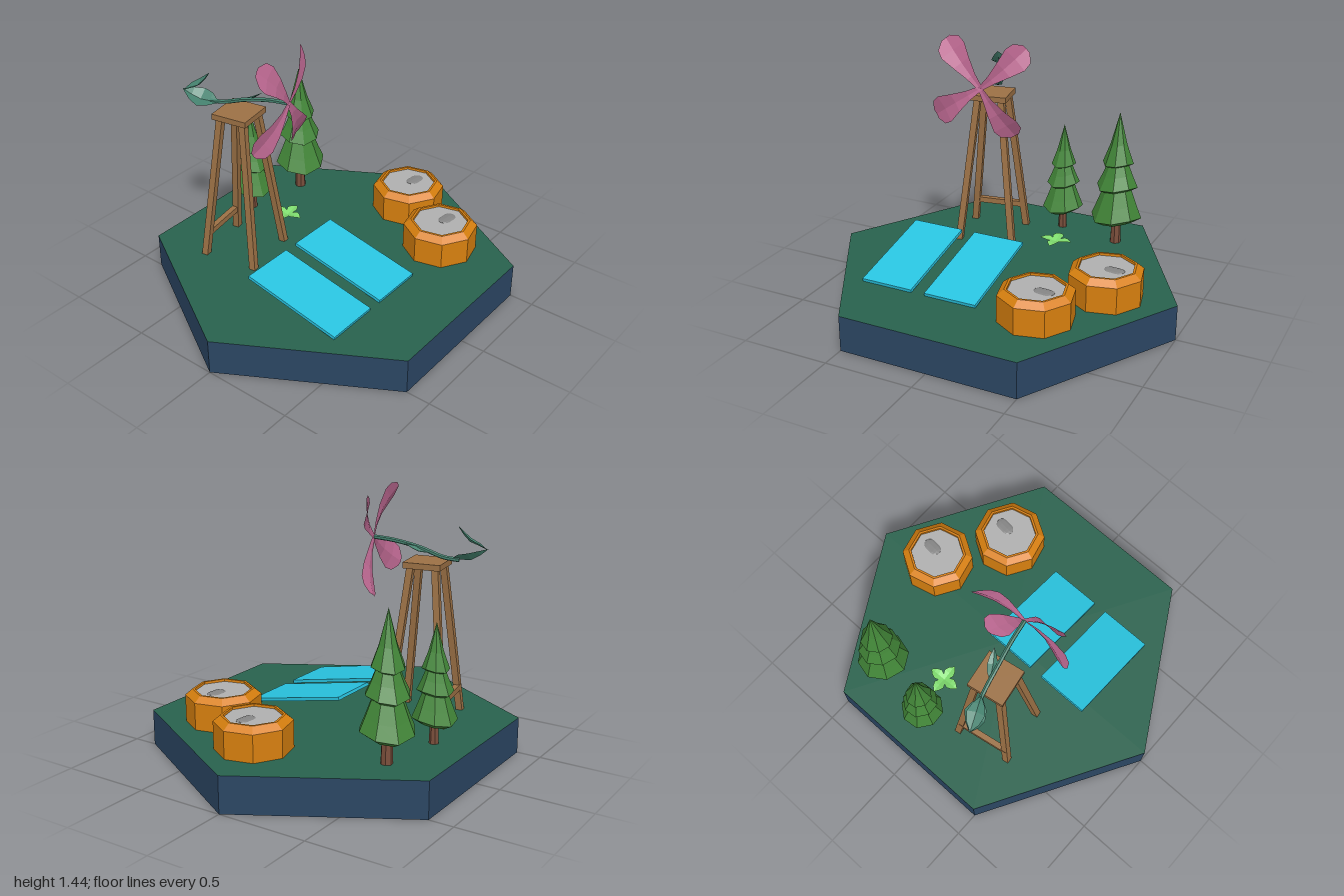
import * as THREE from 'three';

const V = (x, y, z) => new THREE.Vector3(x, y, z);
const mat = (color, thin = false) => new THREE.MeshStandardMaterial({
  color, flatShading: true, side: thin ? THREE.DoubleSide : THREE.FrontSide,
});

const M = {
  soil: mat(0x2b4663), grass: mat(0x28624d), panel: mat(0x29c4e0), wood: mat(0x9c7145),
  petal: mat(0xc06a94, true), stem: mat(0x45826f, true), foliage: mat(0x428638, true),
  trunk: mat(0x7a4e3b), sprout: mat(0x7fdc6e, true), tank: mat(0xd8800f, true),
  lid: mat(0xb0b0b0), handle: mat(0x858585),
};

function add(parent, name, geometry, material, x = 0, y = 0, z = 0) {
  const mesh = new THREE.Mesh(geometry, material);
  mesh.name = name;
  mesh.position.set(x, y, z);
  parent.add(mesh);
  return mesh;
}

function addGroup(parent, name, x = 0, y = 0, z = 0) {
  const g = new THREE.Group();
  g.name = name;
  g.position.set(x, y, z);
  parent.add(g);
  return g;
}

// Thin blade growing along +y; stations are [y, half width, z], crease sets the midrib back
function blade(stations, crease = 0) {
  const pos = [], index = [];
  stations.forEach(([y, w, z], i) => {
    pos.push(-w, y, z, 0, y, z - crease * w, w, y, z);
    if (!i) return;
    for (let k = 0; k < 2; k++) {
      const a = (i - 1) * 3 + k, b = i * 3 + k;
      index.push(a, a + 1, b + 1, a, b + 1, b);
    }
  });
  const g = new THREE.BufferGeometry();
  g.setAttribute('position', new THREE.Float32BufferAttribute(pos, 3));
  g.setIndex(index);
  g.computeVertexNormals();
  return g;
}

// Square bar between two points
function bar(parent, name, a, b, size) {
  const mesh = add(parent, name, new THREE.BoxGeometry(size, a.distanceTo(b), size), M.wood);
  mesh.position.copy(a).lerp(b, 0.5);
  mesh.quaternion.setFromUnitVectors(V(0, 1, 0), b.clone().sub(a).normalize());
}

// Leaf from base to tip, its face turned towards "up"
function leaf(parent, name, base, tip, width, up) {
  const L = base.distanceTo(tip);
  const shape = [[0, 0.008, 0], [0.25, 0.36, 0], [0.5, 0.5, -0.1], [0.75, 0.33, -0.07], [1, 0.01, 0]]
    .map(([t, w, z]) => [t * L, w * width, z * width]);
  const mesh = add(parent, name, blade(shape, 0.35), M.stem);
  const y = tip.clone().sub(base).normalize();
  const x = y.clone().cross(up).normalize();
  mesh.quaternion.setFromRotationMatrix(new THREE.Matrix4().makeBasis(x, y, x.clone().cross(y)));
  mesh.position.copy(base);
}

function addTree(parent, x, z, s, turn) {
  const tree = addGroup(parent, 'tree', x, 0.2, z);
  tree.scale.setScalar(s);
  tree.rotation.y = turn;
  add(tree, 'treeTrunk', new THREE.CylinderGeometry(0.025, 0.032, 0.2, 7), M.trunk, 0, 0.1, 0);
  const profile = [[0, 0.15], [0.09, 0.13], [0.145, 0.165], [0.115, 0.24], [0.07, 0.36], [0.085, 0.33],
    [0.117, 0.35], [0.085, 0.42], [0.05, 0.51], [0.06, 0.475], [0.088, 0.49], [0.048, 0.6], [0, 0.785]];
  const g = new THREE.LatheGeometry(profile.map(p => new THREE.Vector2(...p)), 8);
  // Let the hems of the tiers wave up and down
  const p = g.attributes.position;
  for (let i = 0; i < p.count; i++) {
    const r = Math.hypot(p.getX(i), p.getZ(i));
    p.setY(i, p.getY(i) + 0.12 * r * Math.sin(2 * Math.atan2(p.getX(i), p.getZ(i))));
  }
  add(tree, 'treeFoliage', g, M.foliage);
}

function addTank(parent, x, z) {
  const tank = addGroup(parent, 'tank', x, 0.2, z);
  const profile = [[0, 0], [0.203, 0], [0.203, 0.148], [0.165, 0.18], [0.152, 0.18], [0.15, 0.155]];
  const wall = add(tank, 'tankWall', new THREE.LatheGeometry(profile.map(p => new THREE.Vector2(...p)), 8), M.tank);
  const lid = add(tank, 'tankLid', new THREE.CylinderGeometry(0.154, 0.154, 0.02, 8), M.lid, 0, 0.157, 0);
  wall.rotation.y = lid.rotation.y = -0.15;
  const handle = add(tank, 'tankHandle', new THREE.CapsuleGeometry(0.034, 0.045, 3, 8), M.handle, 0.048, 0.167, 0.011);
  handle.rotation.set(0, -0.1, Math.PI / 2);
  handle.scale.x = 0.2;
}

function addWindmill(parent) {
  // Tower: platform, four splayed legs and a rear brace
  const tower = addGroup(parent, 'tower', -0.268, 0, -0.41);
  tower.rotation.y = 0.17;
  add(tower, 'platform', new THREE.BoxGeometry(0.205, 0.032, 0.205), M.wood, 0, 1.044, 0);
  for (const sx of [-1, 1]) for (const sz of [-1, 1]) {
    bar(tower, 'towerLeg', V(sx * 0.158, 0.195, sz * 0.155), V(sx * 0.068, 1.035, sz * 0.068), 0.036);
  }
  bar(tower, 'towerBrace', V(-0.15, 0.333, -0.143), V(0.15, 0.333, -0.143), 0.032);

  // Four-petalled rotor, its petals curling back at the tips
  const rotor = addGroup(parent, 'rotor', -0.2, 1.165, -0.125);
  rotor.rotation.y = 0.2;
  const petal = blade([[-0.01, 0.012, 0.003], [0.08, 0.027, 0.008], [0.17, 0.053, 0.003], [0.25, 0.078, -0.015],
    [0.295, 0.07, -0.035], [0.325, 0.028, -0.055]], 0.18);
  for (const deg of [128, 41, -58, 213]) {
    const m = add(rotor, 'petal', petal, M.petal);
    m.rotation.order = 'ZYX';
    m.rotation.set(0, 0.15, THREE.MathUtils.degToRad(deg - 90));
  }

  // Stem lying over the platform, with a side leaf and two tail leaves
  const stem = new THREE.CatmullRomCurve3([V(-0.2, 1.165, -0.122), V(-0.22, 1.155, -0.24), V(-0.25, 1.125, -0.38),
    V(-0.275, 1.085, -0.5), V(-0.3, 1.075, -0.58)]);
  add(parent, 'stem', new THREE.TubeGeometry(stem, 14, 0.012, 6), M.stem);
  leaf(parent, 'sideLeaf', V(-0.265, 1.1, -0.45), V(-0.18, 1.155, -0.32), 0.055, V(0.3, 1, 0));
  leaf(parent, 'lowerTailLeaf', V(-0.29, 1.075, -0.53), V(-0.37, 1.135, -0.71), 0.12, V(-0.5, 1, 0));
  leaf(parent, 'upperTailLeaf', V(-0.37, 1.13, -0.705), V(-0.315, 1.25, -0.56), 0.09, V(-0.3, 1, -0.4));
}

export function createModel() {
  const model = new THREE.Group();
  model.name = 'windmillIsland';

  // Hexagonal base with a grass top
  const base = add(model, 'base', new THREE.CylinderGeometry(1, 1, 0.2, 6), [M.soil, M.grass, M.soil], 0, 0.1, 0);
  base.rotation.y = Math.PI / 6;

  // Two solar panels sloping down to the front
  for (const x of [-0.45, -0.07]) {
    const panel = add(model, 'solarPanel', new THREE.BoxGeometry(0.3, 0.018, 0.58), M.panel, x, 0.268, 0.203);
    panel.rotation.x = 0.203;
  }

  addTank(model, 0.63, 0.068);
  addTank(model, 0.403, 0.443);
  addTree(model, 0.43, -0.59, 1, 0.15);
  addTree(model, 0.07, -0.655, 0.815, 0.5);
  addWindmill(model);

  // Small sprout of four flat leaves
  const sprout = addGroup(model, 'sprout', 0.122, 0.205, -0.432);
  const sproutLeaf = blade([[0, 0.014, 0], [0.045, 0.032, 0.014], [0.07, 0.022, 0.014], [0.092, 0.003, 0.008]], 0.2);
  for (let i = 0; i < 4; i++) {
    const m = add(sprout, 'sproutLeaf', sproutLeaf, M.sprout);
    m.rotation.set(-Math.PI / 2, 0, i * Math.PI / 2 + 0.05);
    m.rotation.order = 'XYZ';
  }
  return model;
}
